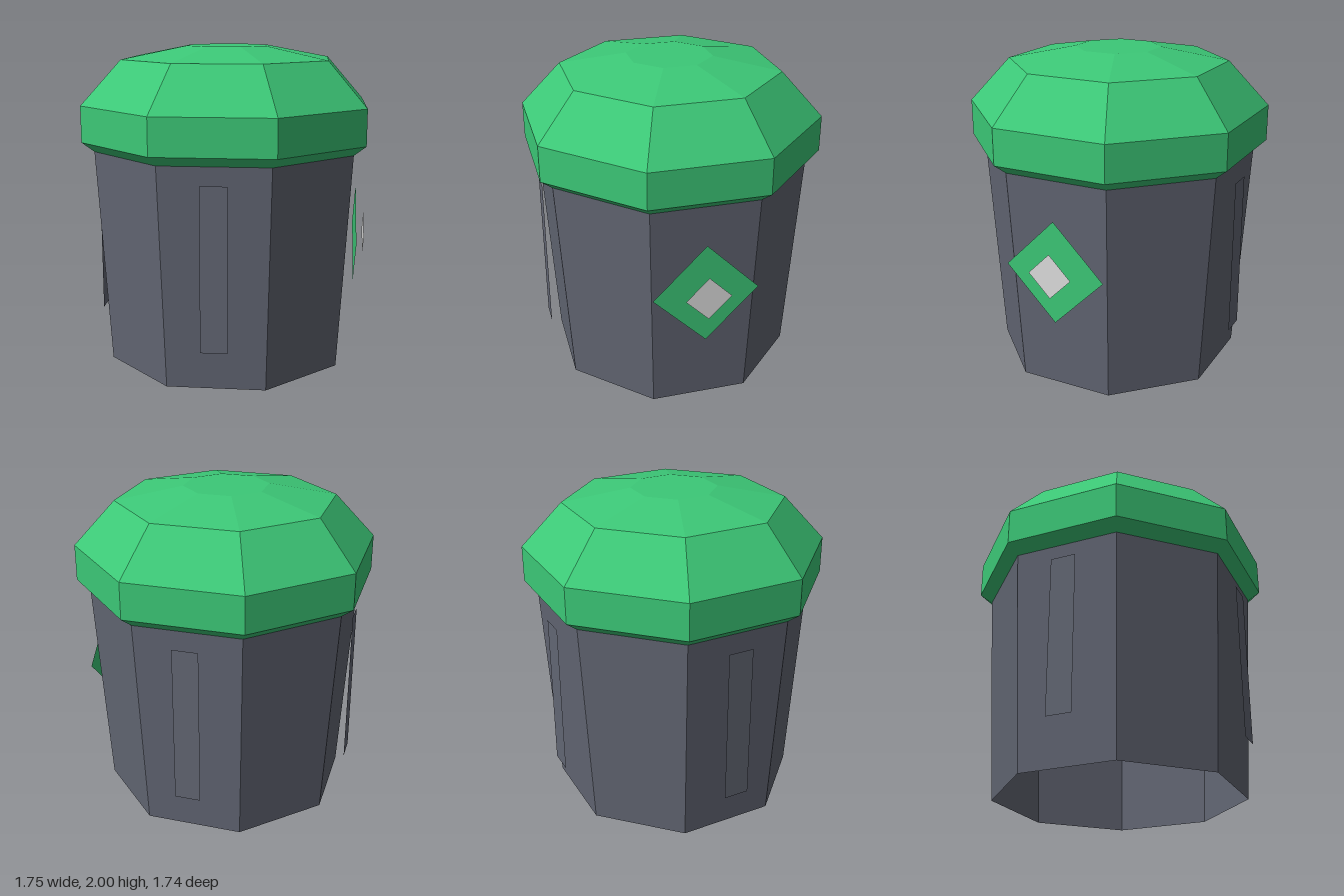
import * as THREE from 'three';

const K = 1 / Math.cos(Math.PI / 8); // octagon face distance -> corner radius

function material(name, color) {
  const m = new THREE.MeshStandardMaterial({ color, flatShading: true, side: THREE.DoubleSide });
  m.name = name;
  return m;
}

export function createModel() {
  const group = new THREE.Group();
  group.name = 'trashCan';
  const grey = material('slate grey', 0x626673);
  const green = material('green', 0x3cc877);
  const light = material('light grey', 0xdedede);

  function add(name, geometry, mat) {
    const mesh = new THREE.Mesh(geometry, mat);
    mesh.name = name;
    mesh.position.x = -0.0075;
    group.add(mesh);
  }

  // Tapered eight-sided body, open at the bottom
  const body = new THREE.CylinderGeometry(0.795 * K, 0.72 * K, 1.36, 8, 1, true);
  add('body', body.rotateY(Math.PI / 8).translate(0, 0.68, 0), grey);

  // Domed eight-sided lid with an overhanging rim
  const profile = [[0.795, 1.36], [0.8675, 1.42], [0.8675, 1.645], [0.632, 1.92], [0.245, 2], [0, 2]]
    .map(([r, y]) => new THREE.Vector2(r * K, y));
  add('lid', new THREE.LatheGeometry(profile, 8).rotateY(Math.PI / 8), green);

  // Upright thin strips on the front, back and right faces
  [['frontStrip', 0], ['backStrip', Math.PI], ['rightStrip', -Math.PI / 2]].forEach(([name, angle]) => {
    const strip = new THREE.PlaneGeometry(0.16, 0.99);
    add(name, strip.translate(0, 0.76, 0.8275).rotateY(angle), grey);
  });

  // Diamond badge on the left face: green plate with a pale centre
  const diamond = (halfDiagonal, distance) =>
    new THREE.PlaneGeometry(halfDiagonal * Math.SQRT2, halfDiagonal * Math.SQRT2)
      .rotateZ(Math.PI / 4).translate(0, 0.802, distance).rotateY(Math.PI / 2);
  add('badgePlate', diamond(0.323, 0.8275), green);
  add('badgeCentre', diamond(0.14, 0.8825), light);

  return group;
}
